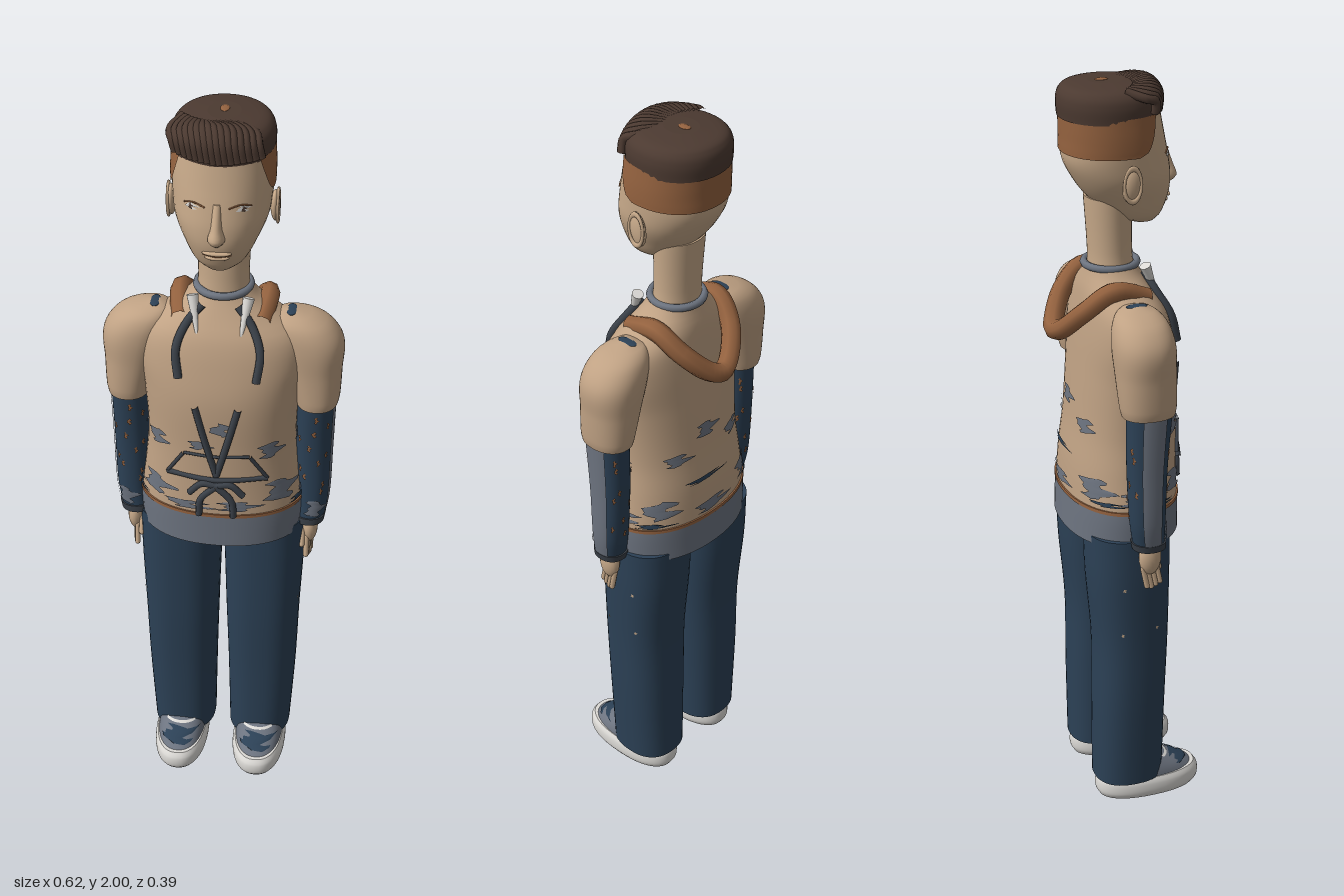
import * as THREE from 'three';
import { mergeVertices, mergeGeometries } from 'three/addons/utils/BufferGeometryUtils.js';

const paint = (name, color, side = THREE.FrontSide) => {
  const m = new THREE.MeshStandardMaterial({ color, side });
  m.name = name;
  return m;
};
const V = (x, y, z) => new THREE.Vector3(x, y, z);

// Smooth surface through sections [y, centreX, halfX, centreZ, halfZ]; angle 0 faces +z
function surface(rows, n = 2) {
  const slope = (i, c) => {
    const a = rows[Math.max(0, i - 1)], b = rows[Math.min(rows.length - 1, i + 1)];
    return (b[c] - a[c]) / (b[0] - a[0]);
  };
  const section = (y) => {
    let i = 0;
    while (i < rows.length - 2 && y > rows[i + 1][0]) i++;
    const h = rows[i + 1][0] - rows[i][0], t = (y - rows[i][0]) / h, t2 = t * t, t3 = t2 * t;
    return [1, 2, 3, 4].map((c) => (2 * t3 - 3 * t2 + 1) * rows[i][c] + (t3 - 2 * t2 + t) * h * slope(i, c)
      + (3 * t2 - 2 * t3) * rows[i + 1][c] + (t3 - t2) * h * slope(i + 1, c));
  };
  const pow = (v) => Math.sign(v) * Math.abs(v) ** (2 / n);
  const at = (a, y, off = 0) => {
    const [cx, hx, cz, hz] = section(y);
    return V(cx + (hx + off) * pow(Math.sin(a)), y, cz + (hz + off) * pow(Math.cos(a)));
  };
  const front = (x, y, off = 0) => {
    const [cx, hx, cz, hz] = section(y);
    return V(x, y, cz + hz * Math.max(0, 1 - Math.abs((x - cx) / hx) ** n) ** (1 / n) + off);
  };
  return { at, front, y0: rows[0][0], y1: rows[rows.length - 1][0] };
}

// Grid over part of a surface; span(v) gives the angle range at height fraction v
function patch(s, y0, y1, span, off = 0, nu = 12, nv = 10) {
  const pos = [], idx = [];
  for (let j = 0; j <= nv; j++) {
    const [a0, a1] = span(j / nv);
    for (let i = 0; i <= nu; i++) pos.push(...s.at(a0 + (a1 - a0) * i / nu, y0 + (y1 - y0) * j / nv, off).toArray());
  }
  for (let j = 0; j < nv; j++) for (let i = 0; i < nu; i++) {
    const a = j * (nu + 1) + i, b = a + nu + 1;
    idx.push(a, a + 1, b + 1, a, b + 1, b);
  }
  const g = new THREE.BufferGeometry();
  g.setAttribute('position', new THREE.Float32BufferAttribute(pos, 3));
  g.setIndex(idx);
  const w = mergeVertices(g, 1e-5);
  w.computeVertexNormals();
  return w;
}

// Closed body: full turn plus flat caps
function loft(s, y0 = s.y0, y1 = s.y1, off = 0, nv = 32, nu = 40) {
  const parts = [patch(s, y0, y1, () => [-Math.PI, Math.PI], off, nu, nv)];
  for (const [y, up] of [[y0, 1], [y1, -1]]) {
    const a = s.at(0, y, off), b = s.at(Math.PI, y, off), pos = [...a.add(b).multiplyScalar(0.5).toArray()], idx = [];
    for (let i = 0; i <= nu; i++) pos.push(...s.at(i / nu * 2 * Math.PI, y, off).toArray());
    for (let i = 1; i <= nu; i++) idx.push(0, ...(up > 0 ? [i + 1, i] : [i, i + 1]));
    const g = new THREE.BufferGeometry();
    g.setAttribute('position', new THREE.Float32BufferAttribute(pos, 3));
    g.setIndex(idx);
    g.computeVertexNormals();
    parts.push(g);
  }
  return mergeGeometries(parts);
}

// Ragged spot centred at angle a, height y
const blob = (s, a, y, da, dy, k = 0, off = 0.004) => patch(s, y - dy, y + dy, (t) => {
  const v = 2 * t - 1, w = da * Math.sqrt(Math.max(0, 1 - v * v)) * (0.8 + 0.3 * Math.sin(8 * v + k));
  const c = a + 0.35 * da * Math.sin(5 * v + k);
  return [c - w, c + w];
}, off);

const tube = (pts, r, seg = 16) => new THREE.TubeGeometry(new THREE.CatmullRomCurve3(pts), seg, r, 8);

export function createModel() {
  const root = new THREE.Group();
  const skin = paint('skin', 0xc8aa8a), shirt = paint('shirt tan', 0xc0a284), navy = paint('navy denim', 0x2c4156);
  const grey = paint('slate grey', 0x6d7480), dark = paint('dark cord', 0x3b4149), brown = paint('brown', 0x94623f);
  const hair = paint('dark hair', 0x4c3a31), white = paint('off white', 0xdcdad6);
  const add = (name, geo, mat, parent = root) => {
    const m = new THREE.Mesh(geo, mat);
    m.name = name;
    parent.add(m);
    return m;
  };
  const ball = (name, mat, p, sc) => {
    const m = add(name, new THREE.SphereGeometry(1, 20, 14), mat);
    m.position.set(...p);
    m.scale.set(...sc);
    return m;
  };

  // Torso with hem band and stripes
  const body = surface([[0.81, 0, 0.213, -0.005, 0.15], [0.9, 0, 0.215, -0.004, 0.147], [1, 0, 0.203, -0.002, 0.143],
    [1.1, 0, 0.193, 0.004, 0.137], [1.25, 0, 0.2, 0.01, 0.131], [1.35, 0, 0.212, 0.006, 0.118], [1.42, 0, 0.195, 0, 0.103],
    [1.465, 0, 0.135, -0.01, 0.086], [1.5, 0, 0.088, -0.015, 0.07], [1.525, 0, 0.072, -0.018, 0.06]], 2.2);
  add('shirt', loft(body, 0.9, 1.525, 0, 40, 56), shirt);
  add('hemBand', loft(body, 0.81, 0.905, 0.002, 6, 56), grey);
  add('hemStripe', loft(body, 0.903, 0.912, 0.004, 2, 56), brown);
  for (const [a, y, da, dy] of [[0.05, 1.185, 0.12, 0.022], [-0.9, 1.12, 0.22, 0.025], [0.75, 1.11, 0.22, 0.025],
    [-0.2, 1.13, 0.14, 0.014], [-0.85, 0.97, 0.3, 0.03], [0.9, 0.975, 0.32, 0.035], [0.25, 0.94, 0.25, 0.016],
    [-0.35, 0.935, 0.3, 0.014], [1.6, 0.945, 0.35, 0.02], [-1.6, 0.945, 0.35, 0.02], [1.55, 1.11, 0.2, 0.02],
    [-1.55, 1.1, 0.2, 0.02], [3.1, 1.17, 0.16, 0.022], [2.6, 1.11, 0.22, 0.018], [3.6, 1.12, 0.2, 0.022],
    [2.3, 0.97, 0.3, 0.03], [3.9, 0.965, 0.32, 0.03], [3.1, 0.94, 0.25, 0.018]].values())
    add('shirtSpot', blob(body, a, y, da, dy, a * 7 + y * 20), grey);
  for (const [a, y] of [[3, 1.03], [1.3, 0.925], [-1.3, 0.925], [4.1, 0.93], [2.2, 0.925]])
    add('shirtDash', blob(body, a, y, 0.3, 0.007, a, 0.005), navy);

  // Front cords: crossed straps, outlined pocket and hanging loops
  const cord = (name, pts, r = 0.008, off = 0.005) => add(name, tube(pts.map(([x, y]) => body.front(x, y, off)), r), dark);
  for (const s of [-1, 1]) {
    cord('crossedStrap', [[s * 0.055, 1.25], [s * 0.03, 1.15], [0, 1.04]], 0.009);
    cord('pocketSide', [[s * 0.085, 1.1], [s * 0.13, 1.025]], 0.005);
    cord('cordLoop', [[0, 1.01], [s * 0.035, 1.015], [s * 0.07, 0.98]], 0.009, 0.01);
    cord('cordEnd', [[0, 1.01], [s * 0.04, 0.965], [s * 0.045, 0.915]], 0.009, 0.012);
    cord('collarCord', [[s * 0.045, 1.5], [s * 0.08, 1.46], [s * 0.105, 1.4], [s * 0.098, 1.325]], 0.011, 0.008);
    const tip = add('collarTip', new THREE.ConeGeometry(0.015, 0.13, 12), white);
    tip.position.set(s * 0.06, 1.465, 0.075);
    tip.rotation.set(Math.PI - 0.4, 0, s * 0.15);
  }
  cord('pocketTop', [[-0.085, 1.1], [0, 1.1], [0.085, 1.1]], 0.004);
  cord('pocketBase', [[-0.13, 1.025], [0, 1.025], [0.13, 1.025]], 0.007);

  // Hood lying on the upper back, and collar
  add('hood', tube([V(0.1, 1.45, 0.045), V(0.112, 1.48, -0.05), V(0.09, 1.43, -0.115), V(0.035, 1.37, -0.158),
    V(0, 1.357, -0.168), V(-0.035, 1.37, -0.158), V(-0.09, 1.43, -0.115), V(-0.112, 1.48, -0.05),
    V(-0.1, 1.45, 0.045)], 0.026, 48), brown);
  const collar = add('collar', new THREE.TorusGeometry(0.067, 0.01, 8, 32), grey);
  collar.position.set(0, 1.522, -0.018);
  collar.rotation.x = Math.PI / 2;

  for (const s of [-1, 1]) {
    // Arm: full upper sleeve, slim lower sleeve, cuff and hand
    const sleeve = surface([[1.2, 0.243 * s, 0.054, -0.004, 0.068], [1.22, 0.243 * s, 0.058, -0.005, 0.072],
      [1.3, 0.234 * s, 0.07, -0.008, 0.076], [1.38, 0.222 * s, 0.083, -0.01, 0.078], [1.43, 0.2 * s, 0.073, -0.01, 0.066],
      [1.455, 0.18 * s, 0.045, -0.01, 0.042], [1.464, 0.17 * s, 0.01, -0.01, 0.01]], 2.2);
    add('upperSleeve', loft(sleeve), shirt);
    ball('shoulderSpot', navy, [0.172 * s, 1.461, -0.01], [0.014, 0.004, 0.028]);
    const arm = surface([[0.82, 0.232 * s, 0.037, 0.004, 0.04], [0.9, 0.239 * s, 0.043, -0.003, 0.046],
      [1.05, 0.239 * s, 0.047, -0.005, 0.052], [1.22, 0.241 * s, 0.049, 0, 0.059]], 2.2);
    add('lowerSleeve', loft(arm), navy);
    add('cuff', loft(arm, 0.82, 0.84, 0.004, 2), dark);
    add('sleevePanel', patch(arm, 0.84, 1.2, (v) => [s * 1.57 - 0.5, s * 1.57 + 0.5], 0.003, 8, 16), grey);
    add('cuffPatch', blob(arm, s * 0.3, 0.875, 0.6, 0.028, 1), grey);
    for (let i = 0; i < 22; i++) {
      const side = i % 2 ? 0 : Math.PI;
      add('sleeveFleck', blob(arm, side + 0.75 * Math.sin(i * 2.4), 0.92 + 0.012 * i, 0.1, 0.011, i, 0.003), brown);
    }
    ball('palm', skin, [0.236 * s, 0.79, 0.006], [0.021, 0.05, 0.03]);
    for (let i = 0; i < 4; i++) {
      const f = add('finger', new THREE.CapsuleGeometry(0.0075, 0.055, 4, 8), skin);
      f.position.set((0.238 - 0.003 * i) * s, 0.73 + 0.004 * Math.abs(i - 1), -0.008 + 0.013 * i);
      f.rotation.x = -0.2;
    }
    const thumb = add('thumb', new THREE.CapsuleGeometry(0.008, 0.04, 4, 8), skin);
    thumb.position.set(0.217 * s, 0.765, 0.03);
    thumb.rotation.x = -0.4;

    // Trouser leg
    const leg = surface([[0.06, 0.108 * s, 0.086, -0.01, 0.095], [0.3, 0.112 * s, 0.095, -0.009, 0.097],
      [0.5, 0.112 * s, 0.101, -0.006, 0.1], [0.7, 0.113 * s, 0.108, -0.013, 0.109], [0.83, 0.112 * s, 0.11, -0.015, 0.111]], 2.4);
    add('trouserLeg', loft(leg), navy);
    for (const [a, y] of [[1.2, 0.56], [1.9, 0.69], [2, 0.55], [1.4, 0.72]])
      add('trouserFleck', blob(leg, a * s, y, 0.045, 0.005, 0, 0.002), skin);

    // Shoe
    const sole = surface([[0, 0.112 * s, 0.066, 0.046, 0.138], [0.015, 0.112 * s, 0.074, 0.047, 0.147],
      [0.045, 0.112 * s, 0.074, 0.047, 0.147], [0.06, 0.112 * s, 0.068, 0.045, 0.139]], 2.3);
    add('sole', loft(sole, 0, 0.06, 0, 10), white);
    const shoe = surface([[0.055, 0.112 * s, 0.067, 0.044, 0.136], [0.075, 0.112 * s, 0.064, 0.034, 0.117],
      [0.1, 0.111 * s, 0.057, 0.015, 0.085], [0.118, 0.11 * s, 0.045, 0.005, 0.062]], 2.2);
    add('shoeUpper', loft(shoe, 0.055, 0.118, 0, 10), grey);
    add('shoePatch', blob(shoe, 0, 0.083, 0.75, 0.014, 0), navy);
    add('shoeLace', patch(shoe, 0.1, 0.104, () => [-0.7, 0.7], 0.004, 12, 2), white);
  }

  // Neck and head
  add('neck', loft(surface([[1.49, 0, 0.068, -0.018, 0.058], [1.56, 0, 0.064, -0.02, 0.056], [1.7, 0, 0.07, -0.025, 0.06]])), skin);
  const head = surface([[1.625, 0, 0.03, 0.065, 0.03], [1.645, 0, 0.062, 0.045, 0.066], [1.7, 0, 0.093, 0.025, 0.105],
    [1.75, 0, 0.114, 0.008, 0.124], [1.8, 0, 0.121, -0.007, 0.132], [1.86, 0, 0.123, -0.014, 0.127],
    [1.92, 0, 0.12, -0.02, 0.121]], 2.15);
  add('head', loft(head), skin);
  add('nose', loft(surface([[1.715, 0, 0.008, 0.132, 0.008], [1.73, 0, 0.021, 0.13, 0.027], [1.76, 0, 0.014, 0.128, 0.02],
    [1.82, 0, 0.009, 0.117, 0.008]]), 1.715, 1.82, 0, 14, 20), skin);
  ball('upperLip', skin, [0, 1.69, 0.123], [0.036, 0.007, 0.012]);
  ball('lowerLip', skin, [0, 1.676, 0.119], [0.03, 0.007, 0.012]);
  add('mouthLine', tube([-0.034, 0, 0.034].map((x) => V(x, 1.683, 0.129 - 9 * x * x)), 0.002), brown);
  for (const s of [-1, 1]) {
    const eye = (x, y, da, dy, off) => blob(head, s * x, y, da, dy, 0, off);
    add('eyeWhite', eye(0.5, 1.808, 0.15, 0.008, 0.002), white);
    add('iris', eye(0.5, 1.808, 0.05, 0.007, 0.004), hair);
    add('lid', tube([0.028, 0.055, 0.08].map((x, i) => head.front(s * x, i === 1 ? 1.818 : 1.811, 0.002)), 0.002), brown);
    ball('ear', skin, [0.126 * s, 1.757, -0.006], [0.012, 0.045, 0.024]).rotation.x = 0.2;
    const rim = add('earRim', new THREE.TorusGeometry(0.022, 0.004, 8, 24), skin);
    rim.position.set(0.133 * s, 1.757, -0.006);
    rim.scale.y = 1.9;
    rim.rotation.y = Math.PI / 2;
  }

  // Cropped sides, crown and swept fringe
  add('croppedHair', patch(head, 1.82, 1.918, (v) => {
    const a = 1.4 - 0.55 * Math.sqrt(v);
    return [a, 2 * Math.PI - a];
  }, 0.004, 48, 10), brown);
  add('crownHair', loft(surface([[1.905, 0, 0.124, -0.023, 0.126], [1.945, 0, 0.124, -0.024, 0.127],
    [1.97, 0, 0.114, -0.026, 0.117], [1.983, 0, 0.09, -0.028, 0.095], [1.989, 0, 0.04, -0.03, 0.045]], 2.1)), hair);
  ball('crownSpot', brown, [0, 1.989, -0.04], [0.011, 0.003, 0.017]);
  for (let i = 0; i < 16; i++) {
    const x = -0.108 + 0.0135 * i, z = 0.1 - 3.2 * x * x;
    add('fringeLock', tube([V(x * 0.6 - 0.03, 1.978, z - 0.075), V(x - 0.012, 1.987 - 2 * x * x, z - 0.03),
      V(x - 0.004, 1.965 - x * x, z - 0.004), V(x + 0.004, 1.915 + 0.08 * Math.abs(x), z - 0.002)], 0.0115, 14), hair);
  }
  return root;
}
